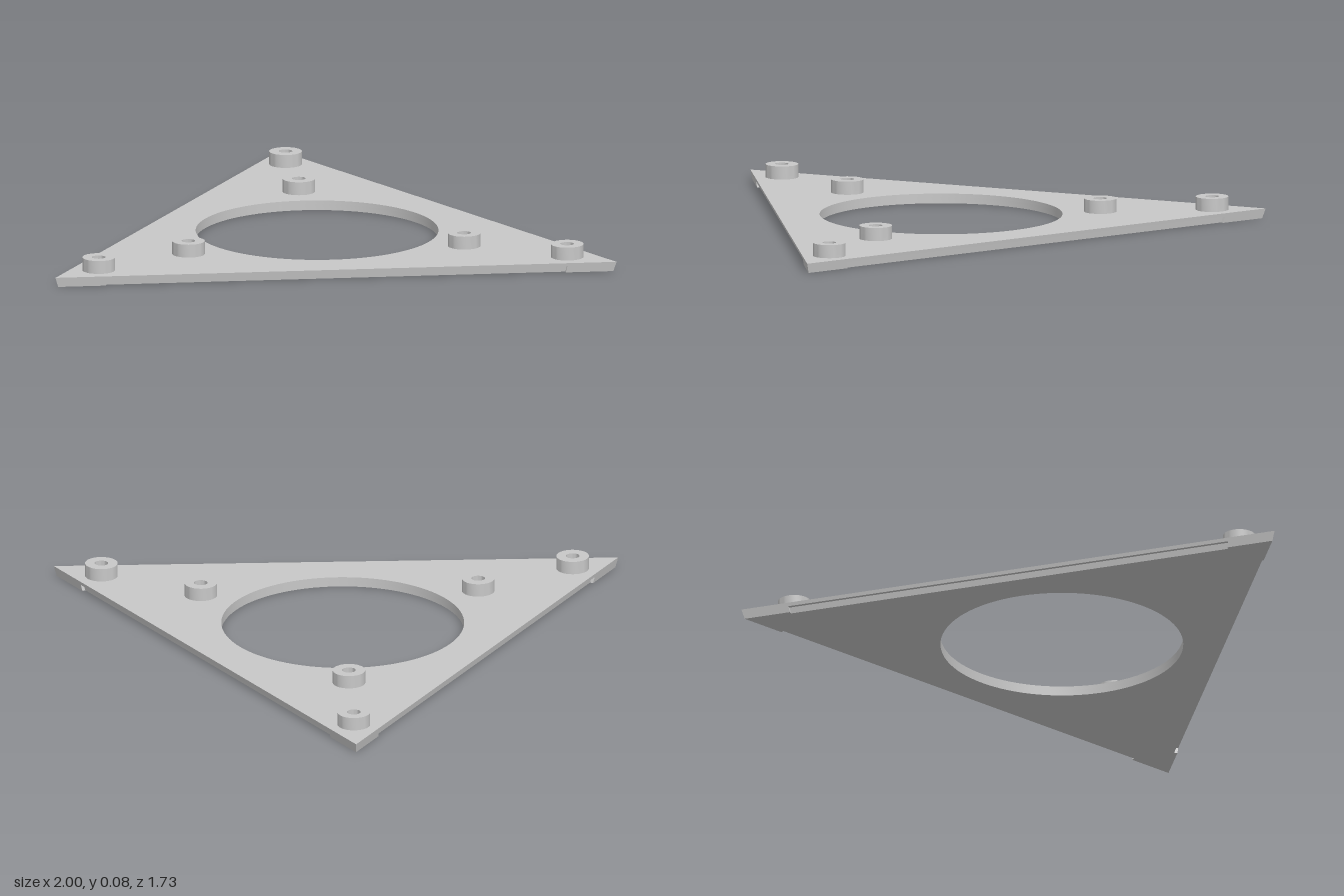
import * as THREE from 'three';
import { toCreasedNormals } from 'three/addons/utils/BufferGeometryUtils.js';

const HEIGHT = 0.035, STEP = 0.022;      // plate thickness, top of the side recesses
const INRADIUS = 1 / Math.sqrt(3);       // of a triangle with sides of 2
const CENTRE_Z = INRADIUS - Math.sqrt(3) / 2;
const INSET = 0.006;                     // how far the sides lean in at the bottom

// Triangle outline about its centroid, with an optional recess along each side
function outline(recess) {
  const pts = [];
  for (let i = 0; i < 3; i++) {
    const add = (x, y) => pts.push(
      new THREE.Vector2(x, y).rotateAround(new THREE.Vector2(), i * Math.PI * 2 / 3));
    add(1, INRADIUS);
    if (recess) {
      const low = INRADIUS - recess;
      add(0.828, INRADIUS);
      add(0.828, low);
      add(-0.828, low);
      add(-0.828, INRADIUS);
    }
  }
  return pts;
}

// One layer of the plate, with the round opening and leaning sides
function layer(recess, y0, y1) {
  const shape = new THREE.Shape(outline(recess));
  shape.holes.push(new THREE.Path().absarc(0, 0, 0.43, 0, Math.PI * 2, true));
  const geo = new THREE.ExtrudeGeometry(shape, { depth: y1 - y0, bevelEnabled: false, curveSegments: 48 });
  geo.rotateX(-Math.PI / 2).translate(0, y0, 0);
  const p = geo.attributes.position;
  for (let i = 0; i < p.count; i++) {
    const x = p.getX(i), z = p.getZ(i);
    if (Math.hypot(x, z) < 0.45) continue;
    const k = 1 - (INSET / INRADIUS) * (1 - p.getY(i) / HEIGHT);
    p.setX(i, x * k);
    p.setZ(i, z * k);
  }
  geo.translate(0, 0, CENTRE_Z);
  return toCreasedNormals(geo, 0.5);
}

export function createModel() {
  const group = new THREE.Group();
  group.name = 'triangularPlate';
  const grey = new THREE.MeshStandardMaterial({ color: 0xc8c8c8 });
  grey.name = 'lightGrey';

  const add = (name, geo) => {
    const mesh = new THREE.Mesh(geo, grey);
    mesh.name = name;
    group.add(mesh);
    return mesh;
  };

  add('lowerPlate', layer(0.012, 0, STEP));
  add('upperPlate', layer(0, STEP, HEIGHT));

  // Hollow round bosses: two towards each corner
  const profile = [[0.058, 0], [0.058, 0.047], [0.024, 0.047], [0.024, 0]]
    .map(([x, y]) => new THREE.Vector2(x, y));
  const boss = toCreasedNormals(new THREE.LatheGeometry(profile, 40), 0.5);
  const spots = [[0, 0.675], [0, 0.279], [0.835, -0.771], [-0.835, -0.771], [0.49, -0.573], [-0.49, -0.573]];
  for (const [x, z] of spots) add('boss', boss).position.set(x, HEIGHT, z);

  return group;
}
